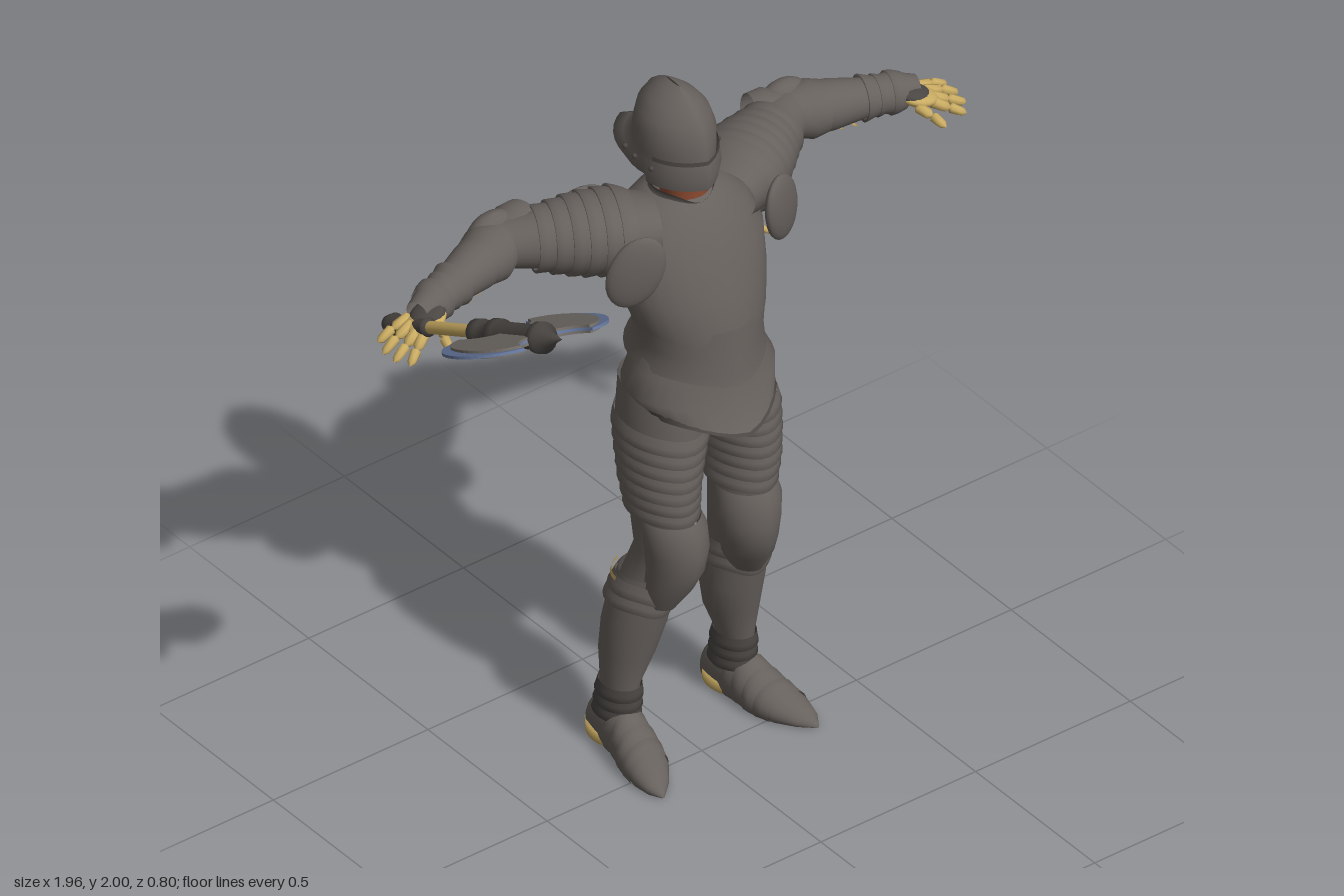
import * as THREE from 'three';
import { mergeGeometries } from 'three/addons/utils/BufferGeometryUtils.js';

const mat = (name, color) => {
  const m = new THREE.MeshStandardMaterial({ color, side: THREE.DoubleSide });
  m.name = name;
  return m;
};
const V = (p) => new THREE.Vector3(...p);

// Rings stacked on y. Row: [y, centre x, half width, front z, back z, front dip]. k sharpens front and back.
function loft(rows, { n = 28, k = 0, a0 = 0, a1 = Math.PI * 2 } = {}) {
  const r = rows[0][0] > rows[rows.length - 1][0] ? [...rows].reverse() : rows;
  const closed = a1 - a0 > 6.28, w = closed ? n : n + 1, pos = [], idx = [];
  for (const [y, cx, rx, zf, zb, dip = 0] of r)
    for (let i = 0; i < w; i++) {
      const a = a0 + (a1 - a0) * i / n, s = Math.sin(a);
      const q = s * (1 - k) + k * Math.asin(s) * 2 / Math.PI;
      pos.push(cx + rx * Math.cos(a), y - dip * Math.max(0, s) ** 5, (zf + zb) / 2 + (zf - zb) / 2 * q);
    }
  for (let j = 0; j < r.length - 1; j++)
    for (let i = 0; i < n; i++) {
      const a = j * w + i, b = j * w + (i + 1) % w;
      idx.push(a, a + w, b, b, a + w, b + w);
    }
  const g = new THREE.BufferGeometry();
  g.setAttribute('position', new THREE.Float32BufferAttribute(pos, 3));
  g.setIndex(idx);
  g.computeVertexNormals();
  return g;
}

// Row of a profile at any height between its ends
function sample(rows, y) {
  let i = 0;
  while (i < rows.length - 2 && (rows[i + 1][0] - y) * (rows[i][0] - y) > 0) i++;
  const a = rows[i], b = rows[i + 1], t = (y - a[0]) / (b[0] - a[0]);
  return a.map((v, j) => v + (b[j] - v) * t);
}

// Overlapping plates that follow a profile, each flared at its lower end
function lames(rows, y0, y1, count, flare, dip = 0, k = 0) {
  const grow = (r, d) => [r[0], r[1], r[2] + d, r[3] + d, r[4] - d, dip];
  return mergeGeometries(Array.from({ length: count }, (_, i) => {
    const h = (y1 - y0) / count, t = y0 + h * i;
    return loft([grow(sample(rows, t), 0.004), grow(sample(rows, t + h * 0.6), flare * 0.7),
      grow(sample(rows, t + h * 1.1), flare), grow(sample(rows, t + h * 1.1), flare - 0.008)], { k });
  }));
}

// Round profile [distance, radius, optional depth radius]
const round = (list) => list.map(([y, r, d = r]) => [y, 0, r, d, -d]);

// Lays a shape built along y onto the line from a to b
function along(g, a, b) {
  const d = V(b).sub(V(a)).normalize();
  return g.applyQuaternion(new THREE.Quaternion().setFromUnitVectors(new THREE.Vector3(0, 1, 0), d)).translate(...a);
}
function rod(a, b, r0, r1) {
  const l = V(a).distanceTo(V(b));
  return along(loft(round([[-r0 * 0.6, 0.001], [0, r0], [l * 0.5, (r0 + r1) / 2], [l - r1, r1], [l, 0.001]]), { n: 8 }), a, b);
}
const blob = (c, s, rz = 0, ry = 0) => new THREE.SphereGeometry(1, 20, 14).scale(...s).rotateZ(rz).rotateY(ry).translate(...c);

function mirrored(g) {
  const m = g.clone().scale(-1, 1, 1), ix = m.index.array;
  for (let i = 0; i < ix.length; i += 3) [ix[i], ix[i + 1]] = [ix[i + 1], ix[i]];
  m.computeVertexNormals();
  return m;
}

export function createModel() {
  const steel = mat('steel', 0x67615d), dark = mat('dark steel', 0x4a4643), gold = mat('tan leather', 0xc9ab62);
  const skin = mat('skin', 0x8c4a30), blade = mat('blade steel', 0x726c66), edge = mat('blue edge', 0x66779c);
  const root = new THREE.Group(), body = new THREE.Group(), axe = new THREE.Group();
  root.name = 'armouredFigure'; body.name = 'knight'; axe.name = 'battleAxe';
  root.add(body, axe);
  body.position.x = 0.045;
  const add = (name, g, m, parent = body) => {
    const o = new THREE.Mesh(g, m);
    o.name = name;
    parent.add(o);
  };
  const pair = (name, g, m) => { add(name + 'Left', g, m); add(name + 'Right', mirrored(g), m); };

  // Helmet with swept tail, visor and rivets
  add('helmet', loft([[1.755, 0, 0.1, -0.06, -0.34], [1.775, 0, 0.106, -0.035, -0.4], [1.8, 0, 0.104, -0.035, -0.355],
    [1.83, 0, 0.102, -0.037, -0.315], [1.88, 0, 0.102, -0.04, -0.305], [1.925, 0, 0.089, -0.06, -0.295],
    [1.96, 0, 0.062, -0.085, -0.27], [1.985, 0, 0.03, -0.12, -0.24], [2, 0, 0.003, -0.15, -0.21]], { k: 0.4 }), steel);
  add('visor', loft([[1.742, 0, 0.104, -0.03, -0.31], [1.78, 0, 0.11, -0.022, -0.315], [1.82, 0, 0.108, -0.03, -0.31]],
    { k: 0.4, a0: 0.1, a1: Math.PI - 0.1 }), steel);
  add('eyeSlit', loft([[1.82, 0, 0.107, -0.03, -0.31], [1.832, 0, 0.106, -0.031, -0.31]], { k: 0.4, a0: 0.3, a1: Math.PI - 0.3 }), dark);
  pair('rivets', mergeGeometries([[0.108, 1.8, -0.13], [0.108, 1.8, -0.2], [0.1, 1.8, -0.25]].map((c) => blob(c, [0.007, 0.007, 0.007]))), dark);
  add('neck', loft([[1.62, 0, 0.065, -0.06, -0.2], [1.7, 0, 0.058, -0.07, -0.2], [1.78, 0, 0.068, -0.06, -0.23]]), skin);
  add('chin', blob([0, 1.765, -0.115], [0.06, 0.06, 0.06]), skin);

  // Torso plates
  add('gorget', loft([[1.725, 0, 0.088, -0.055, -0.235, 0.035], [1.7, 0, 0.08, -0.06, -0.235, 0.02], [1.65, 0, 0.15, -0.03, -0.27]]), dark);
  const chest = [[1.7, 0, 0.085, -0.065, -0.235], [1.68, 0, 0.13, -0.045, -0.26], [1.63, 0, 0.19, -0.01, -0.29],
    [1.55, 0, 0.225, 0.03, -0.295], [1.45, 0, 0.21, 0.065, -0.27], [1.37, 0, 0.187, 0.088, -0.24], [1.3, 0, 0.165, 0.095, -0.235]];
  add('breastplate', loft(chest, { k: 0.12 }), steel);
  add('fauld', loft([[1.37, 0, 0.185, 0.092, -0.242], [1.3, 0, 0.172, 0.1, -0.245], [1.26, 0, 0.178, 0.108, -0.275, 0.03],
    [1.235, 0, 0.183, 0.114, -0.29, 0.03]], { k: 0.25 }), steel);
  add('skirt', loft([[1.3, 0, 0.168, 0.07, -0.23], [1.22, 0, 0.188, 0.085, -0.245], [1.16, 0, 0.216, 0.11, -0.26, 0.03],
    [1.115, 0, 0.19, 0.145, -0.26, 0.04]], { k: 0.3 }), steel);
  add('skirtRim', loft([[1.13, 0, 0.2, 0.128, -0.26, 0.04], [1.108, 0, 0.19, 0.152, -0.262, 0.04]], { k: 0.3 }), dark);
  add('hips', loft([[1.2, 0, 0.17, 0.05, -0.23], [1.08, 0, 0.165, 0.04, -0.225], [1.03, 0, 0.1, 0, -0.18], [0.99, 0, 0.03, -0.05, -0.13]]), dark);

  // Legs
  const thigh = [[1.15, 0.1, 0.1, 0.045, -0.23], [1.05, 0.112, 0.105, 0.052, -0.222], [0.95, 0.125, 0.093, 0.05, -0.2],
    [0.86, 0.13, 0.085, 0.045, -0.18], [0.76, 0.125, 0.077, 0.035, -0.157], [0.65, 0.118, 0.07, 0.015, -0.15], [0.54, 0.145, 0.076, -0.02, -0.175]];
  pair('thigh', loft(thigh), steel);
  pair('thighPlates', lames(thigh, 1.06, 0.79, 7, 0.014, 0.012), steel);
  pair('kneeCap', loft([[0.775, 0.122, 0.08, 0.055, -0.13], [0.74, 0.12, 0.088, 0.072, -0.12], [0.68, 0.116, 0.087, 0.078, -0.12],
    [0.62, 0.118, 0.077, 0.072, -0.12], [0.56, 0.128, 0.07, 0.045, -0.12], [0.49, 0.14, 0.045, 0, -0.12]],
    { k: 0.15, a0: -0.2, a1: Math.PI + 0.2 }), steel);
  const shin = [[0.58, 0.145, 0.08, -0.015, -0.17], [0.5, 0.153, 0.087, -0.03, -0.2], [0.4, 0.157, 0.089, -0.05, -0.222],
    [0.3, 0.168, 0.075, -0.075, -0.23], [0.2, 0.185, 0.048, -0.1, -0.222], [0.08, 0.187, 0.05, -0.11, -0.24]];
  pair('greave', loft(shin, { k: 0.1 }), steel);
  pair('greaveCollar', lames(shin, 0.57, 0.49, 2, 0.01, 0.03), steel);
  pair('anklePlates', lames(shin, 0.2, 0.1, 3, 0.01), dark);
  pair('kneeStraps', mergeGeometries([0.57, 0.55, 0.53].map((y) =>
    loft([[y, 0.147, 0.088, -0.02, -0.19], [y - 0.012, 0.148, 0.089, -0.021, -0.193]], { a0: -1.3, a1: -0.1, n: 10 }))), gold);
  // Pointed foot: lengthwise sections with the underside pressed flat
  const foot = [[-0.275, 0.185, 0.012, 0.02, -0.05], [-0.255, 0.185, 0.04, 0.02, -0.1], [-0.2, 0.188, 0.05, 0.03, -0.14],
    [-0.12, 0.195, 0.054, 0.03, -0.13], [-0.05, 0.208, 0.062, 0.03, -0.09], [0.02, 0.225, 0.058, 0.02, -0.06],
    [0.07, 0.24, 0.035, 0.01, -0.033], [0.105, 0.25, 0.004, 0.004, -0.008]];
  const press = (g) => {
    g.rotateX(Math.PI / 2);
    const p = g.attributes.position;
    for (let i = 0; i < p.count; i++) p.setY(i, Math.max(0.002, p.getY(i)));
    g.computeVertexNormals();
    return g;
  };
  pair('foot', press(loft(foot)), steel);
  pair('footPlates', press(lames(foot, 0.01, -0.15, 4, 0.006)), steel);
  pair('heelSole', loft([[0, 0.188, 0.001, -0.19, -0.2], [0, 0.188, 0.05, -0.13, -0.278], [0.035, 0.188, 0.052, -0.13, -0.28],
    [0.036, 0.188, 0.001, -0.19, -0.2]]), gold);

  // Shoulders and arms
  const sh = [0.1, 1.61, -0.14], el = [0.46, 1.625, -0.3], wr = [0.75, 1.61, -0.22];
  const upper = round([[0, 0.088, 0.13], [0.1, 0.108, 0.14], [0.2, 0.1, 0.12], [0.3, 0.078, 0.085], [0.4, 0.066, 0.066]]);
  pair('upperArm', along(loft(upper), sh, el), steel);
  pair('shoulderPlates', along(lames(upper, 0.06, 0.31, 6, 0.013), sh, el), steel);
  pair('frontShoulderWing', blob([0.235, 1.585, -0.03], [0.075, 0.11, 0.025], 0.35, 0.45), steel);
  pair('rearShoulderWing', blob([0.2, 1.59, -0.295], [0.095, 0.1, 0.03], 0.3, 0.3), steel);
  pair('shoulderPoint', along(new THREE.ConeGeometry(0.012, 0.1, 8), [0.22, 1.5, -0.29], [0.26, 1.47, -0.35]), dark);
  pair('armpitStrap', rod([0.2, 1.5, -0.1], [0.26, 1.46, -0.08], 0.01, 0.008), gold);
  pair('elbowCap', along(loft(round([[-0.1, 0.07], [-0.06, 0.078], [0, 0.064], [0.06, 0.08], [0.1, 0.07]])), el, wr), steel);
  pair('elbowWing', blob([0.47, 1.63, -0.325], [0.085, 0.08, 0.05]), steel);
  pair('elbowTip', new THREE.ConeGeometry(0.045, 0.07, 4).rotateX(-Math.PI / 2).translate(0.47, 1.63, -0.355), steel);
  const fore = round([[0.05, 0.07], [0.12, 0.068], [0.2, 0.055], [0.26, 0.045], [0.29, 0.052], [0.32, 0.046], [0.36, 0.035]]);
  pair('vambrace', along(loft(fore), el, wr), steel);
  pair('gauntletCuff', along(lames(fore, 0.32, 0.21, 3, 0.01), el, wr), steel);
  pair('armStraps', along(mergeGeometries([0.14, 0.18].map((t) => loft(round([[t, 0.069], [t + 0.008, 0.068]]), { a0: -0.4, a1: 0.9, n: 8 }))), el, wr), gold);
  pair('palm', blob([0.795, 1.596, -0.185], [0.058, 0.022, 0.05], -0.3), gold);
  pair('handPlate', blob([0.785, 1.606, -0.19], [0.05, 0.022, 0.045], -0.3), dark);
  // Fingers: knuckle, middle joint and tip
  const fingers = [[[0.82, 1.592, -0.225], [0.875, 1.578, -0.225], [0.92, 1.555, -0.225]], [[0.83, 1.59, -0.2], [0.885, 1.57, -0.195], [0.93, 1.543, -0.19]],
    [[0.83, 1.585, -0.175], [0.88, 1.562, -0.16], [0.925, 1.538, -0.15]], [[0.82, 1.582, -0.155], [0.865, 1.555, -0.135], [0.9, 1.535, -0.115]],
    [[0.77, 1.59, -0.15], [0.79, 1.575, -0.11], [0.8, 1.56, -0.07]]];
  pair('fingers', mergeGeometries(fingers.flatMap(([a, b, c]) => [rod(a, b, 0.015, 0.014), rod(b, c, 0.014, 0.011)])), gold);

  // Two-bladed axe, built upright and then laid along its handle line
  const foot0 = [-0.78, 1.515, -0.33], tip = [-0.757, 1.872, 0.395];
  const part = (name, g, m) => add(name, along(g.rotateY(-0.11), foot0, tip), m, axe);
  const turned = (list) => new THREE.LatheGeometry(list.map(([y, r]) => new THREE.Vector2(r, y)), 16);
  part('pommel', turned([[0, 0], [0.03, 0.022], [0.06, 0.03], [0.075, 0.02], [0.2, 0.022], [0.21, 0.026], [0.22, 0.016]]), dark);
  part('grip', turned([[0.2, 0.017], [0.45, 0.017]]), gold);
  part('socket', turned([[0.42, 0.018], [0.425, 0.034], [0.455, 0.036], [0.46, 0.028], [0.5, 0.028], [0.51, 0.04], [0.54, 0.04],
    [0.55, 0.033], [0.7, 0.033], [0.705, 0.042], [0.73, 0.042], [0.74, 0.026], [0.808, 0.001]]), dark);
  const lobe = (s, reach, horn, depth) => {
    const f = new THREE.Shape();
    f.moveTo(0, -0.07);
    f.lineTo(s * 0.05, -0.07);
    f.quadraticCurveTo(s * 0.1, -0.09, s * 0.108, -horn);
    f.bezierCurveTo(s * reach, -horn * 0.85, s * reach, horn * 0.85, s * 0.108, horn);
    f.quadraticCurveTo(s * 0.1, 0.09, s * 0.05, 0.07);
    f.lineTo(0, 0.07);
    return new THREE.ExtrudeGeometry(f, { depth, bevelEnabled: false, curveSegments: 20 }).translate(0, 0.645, -depth / 2);
  };
  for (const s of [-1, 1]) {
    part('axeEdge', lobe(s, 0.268, 0.15, 0.008), edge);
    part('axeBlade', lobe(s, 0.225, 0.138, 0.022), blade);
  }
  return root;
}
